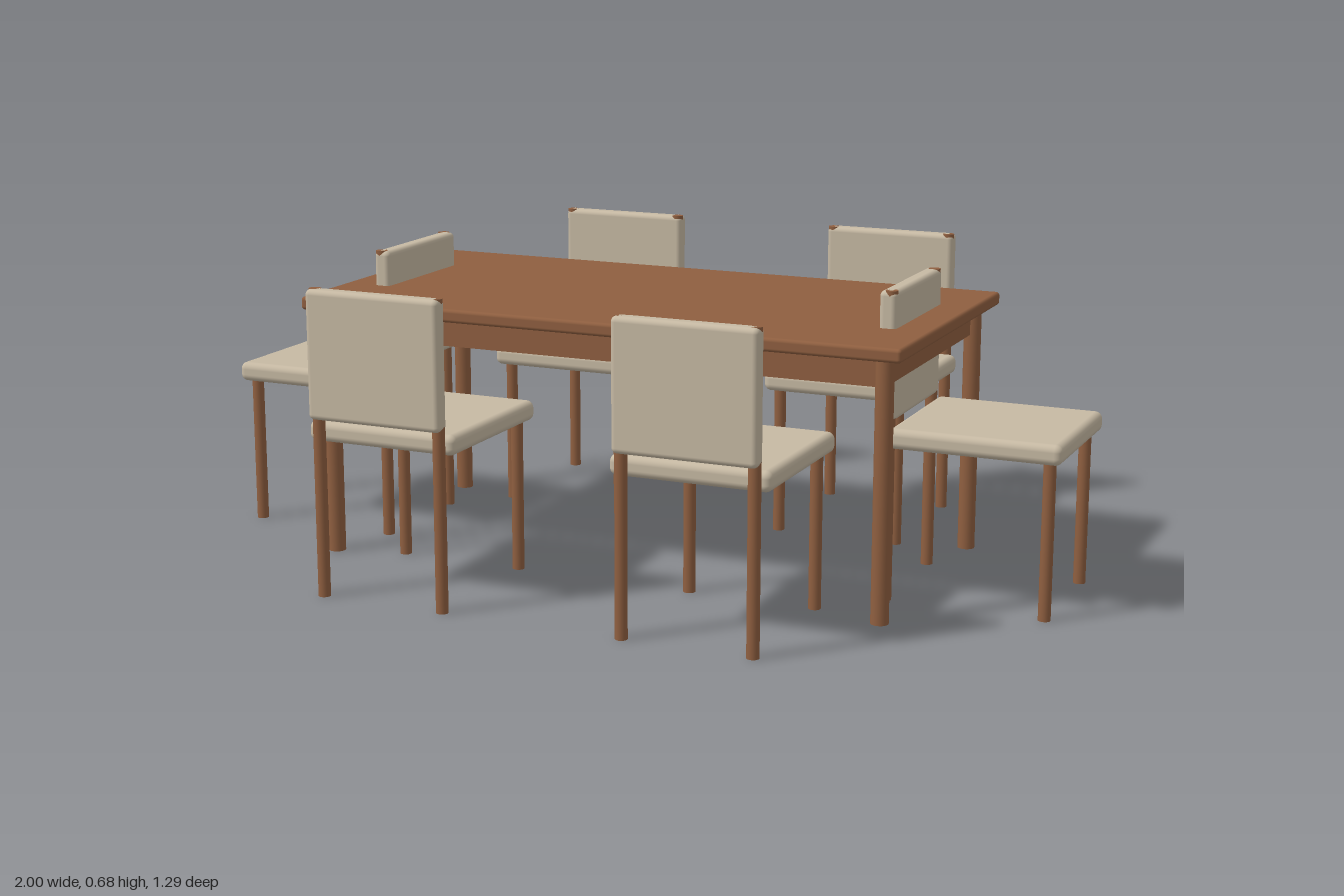
import * as THREE from 'three';
import { RoundedBoxGeometry } from 'three/addons/geometries/RoundedBoxGeometry.js';

const wood = new THREE.MeshStandardMaterial({ color: 0x8f5f40 });
const fabric = new THREE.MeshStandardMaterial({ color: 0xc6b9a3 });

function add(parent, name, geometry, material, x, y, z) {
  const mesh = new THREE.Mesh(geometry, material);
  mesh.name = name;
  mesh.position.set(x, y, z);
  parent.add(mesh);
}

// Round leg standing on the floor
function addLeg(parent, name, radius, height, x, z) {
  add(parent, name, new THREE.CylinderGeometry(radius, radius, height, 20), wood, x, height / 2, z);
}

function createTable() {
  const table = new THREE.Group();
  table.name = 'table';
  const legX = 0.66, legZ = 0.307;
  add(table, 'tableTop', new RoundedBoxGeometry(1.417, 0.03, 0.708, 3, 0.008), wood, 0, 0.583, 0);
  // Solid apron block between the legs
  add(table, 'apron', new THREE.BoxGeometry(legX * 2, 0.067, legZ * 2), wood, 0, 0.539, 0);
  for (const s of [-1, 1]) {
    for (const t of [-1, 1]) addLeg(table, 'tableLeg', 0.0195, 0.572, s * legX, t * legZ);
  }
  return table;
}

// Chair centred on its seat, with the backrest on +z
function createChair(x, z, turn) {
  const chair = new THREE.Group();
  chair.name = 'chair';
  add(chair, 'seat', new RoundedBoxGeometry(0.355, 0.045, 0.378, 4, 0.016), fabric, 0, 0.364, 0);
  add(chair, 'backrest', new RoundedBoxGeometry(0.318, 0.282, 0.0385, 4, 0.012), fabric, 0, 0.537, 0.199);
  for (const s of [-1, 1]) {
    addLeg(chair, 'frontLeg', 0.0135, 0.35, s * 0.1455, -0.158);
    addLeg(chair, 'backPost', 0.0135, 0.678, s * 0.1455, 0.194);
  }
  chair.position.set(x, 0, z);
  chair.rotation.y = turn;
  return chair;
}

export function createModel() {
  const model = new THREE.Group();
  model.name = 'diningSet';
  model.add(createTable());
  for (const s of [-1, 1]) {
    // Two chairs along each long side
    model.add(createChair(s * 0.355, 0.426, 0));
    model.add(createChair(s * 0.355, -0.426, Math.PI));
    // End chairs face outward, their backs rising through the table
    model.add(createChair(s * 0.811, 0, -s * Math.PI / 2));
  }
  return model;
}
